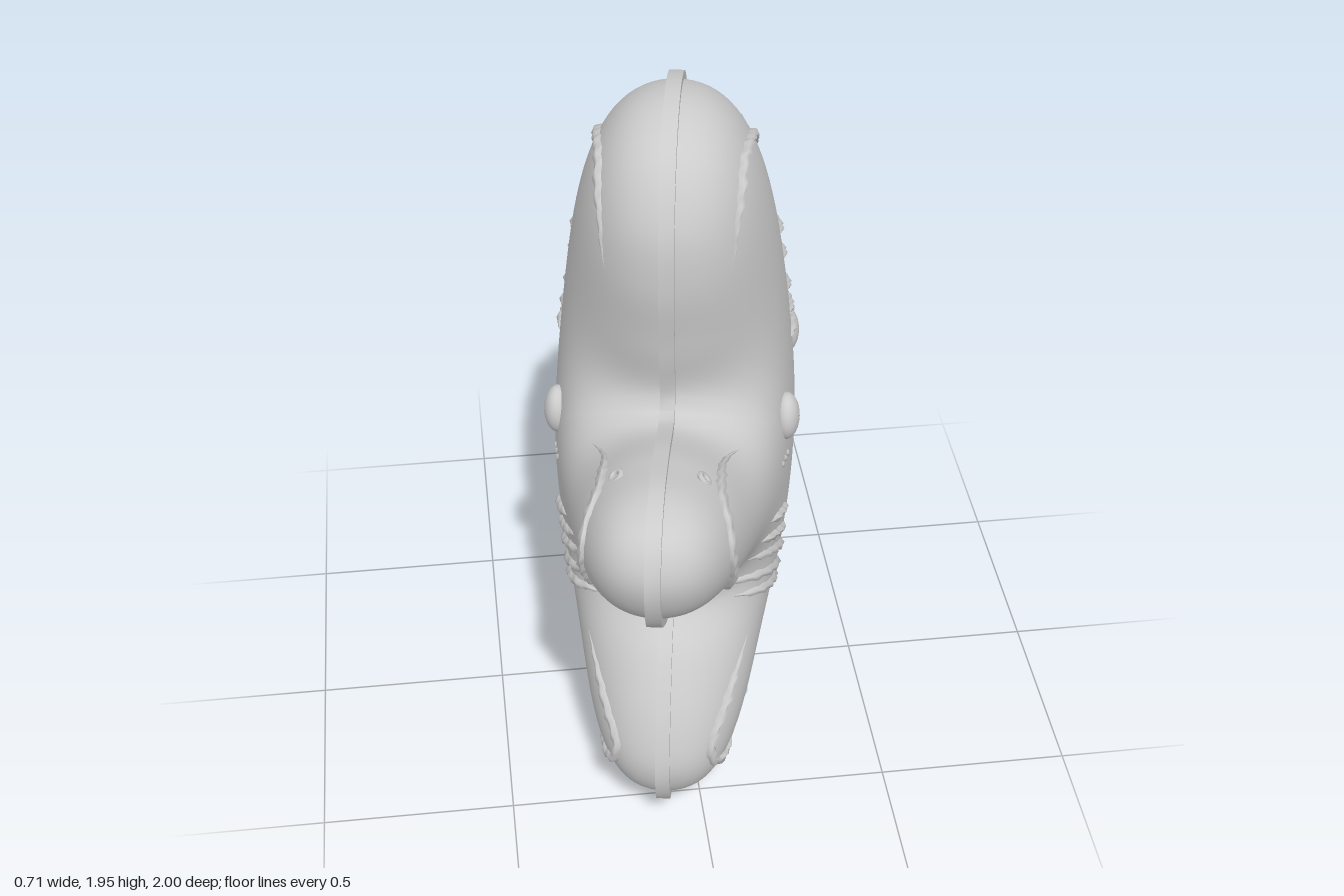
import * as THREE from 'three';
import { toCreasedNormals } from 'three/addons/utils/BufferGeometryUtils.js';

const TILT = 0.175; // the star's flat plane is turned slightly about y
const C = Math.cos(TILT), S = Math.sin(TILT);
const material = new THREE.MeshStandardMaterial({ color: 0xcccccc });

// Star outline as [z, y], starting at the top arm and running towards the back
const OUTLINE = [
  [0.185, 1.955], [-0.02, 1.9], [-0.19, 1.725], [-0.315, 1.485], [-0.367, 1.297], [-0.378, 1.21],
  [-0.61, 1.222], [-0.866, 1.195], [-0.973, 1.11], [-0.995, 1.013], [-0.94, 0.885], [-0.796, 0.778],
  [-0.58, 0.682], [-0.4, 0.623], [-0.49, 0.479], [-0.544, 0.307], [-0.517, 0.12], [-0.42, 0.03],
  [-0.287, 0.005], [-0.126, 0.072], [0.008, 0.211], [0.083, 0.318], [0.169, 0.227], [0.303, 0.115],
  [0.475, 0.078], [0.635, 0.126], [0.689, 0.243], [0.662, 0.388], [0.571, 0.559], [0.475, 0.676],
  [0.625, 0.773], [0.84, 0.928], [0.962, 1.045], [1.0, 1.174], [0.952, 1.28], [0.84, 1.318],
  [0.65, 1.286], [0.426, 1.233], [0.438, 1.4], [0.464, 1.59], [0.448, 1.751], [0.357, 1.896],
];

// Raised lines on the skin, as [z, y] paths
const CONTOURS = {
  topArmContour: [[0.41, 1.596], [0.373, 1.725], [0.276, 1.815], [0.115, 1.79], [-0.045, 1.67], [-0.147, 1.505]],
  topArmDash: [[0.008, 1.767], [-0.083, 1.72], [-0.169, 1.596]],
  backArmContour: [[-0.34, 1.115], [-0.61, 1.12], [-0.81, 1.1], [-0.887, 1.03], [-0.85, 0.922], [-0.61, 0.815], [-0.228, 0.676]],
  frontArmContour: [[0.485, 1.147], [0.65, 1.206], [0.785, 1.217], [0.855, 1.152], [0.812, 1.03], [0.732, 0.938], [0.63, 0.896]],
  frontFootContour: [[0.458, 0.516], [0.571, 0.414], [0.64, 0.307], [0.625, 0.238], [0.49, 0.2], [0.36, 0.23]],
  frontFootDash: [[0.47, 0.265], [0.357, 0.285], [0.249, 0.35]],
  backFootContour: [[-0.228, 0.639], [-0.367, 0.468], [-0.458, 0.334], [-0.42, 0.2], [-0.287, 0.163], [-0.126, 0.243], [0.013, 0.35]],
};
// Straight stripes: z, y of the start, then of the end
const STRIPES = [
  [0.105, 1.5, -0.19, 1.4], [0.078, 1.41, -0.21, 1.313], [0.088, 1.324, -0.217, 1.195],
  [0.1, 1.26, -0.153, 1.174], [0.126, 1.206, -0.083, 1.174],
  [0.426, 0.858, 0.249, 0.773], [0.45, 0.815, 0.23, 0.69], [0.455, 0.765, 0.2, 0.61],
  [0.46, 0.7, 0.19, 0.545], [0.447, 0.639, 0.169, 0.489],
];
// Tiny cheek ticks below the eyes
const TICKS = [
  [0.365, 1.0, 0.355, 0.975], [0.335, 0.995, 0.325, 0.97], [0.305, 0.99, 0.3, 0.965],
  [-0.14, 0.91, -0.15, 0.885], [-0.17, 0.92, -0.18, 0.895], [-0.22, 0.945, -0.24, 0.91],
  [-0.25, 0.95, -0.265, 0.915], [-0.28, 0.955, -0.295, 0.92], [-0.31, 0.96, -0.325, 0.93],
  [-0.22, 0.915, -0.33, 0.945],
];

const curve = new THREE.CatmullRomCurve3(
  OUTLINE.map(([z, y]) => new THREE.Vector3(z / C, y, 0)), true, 'centripetal');
const N = 260;
const edge = curve.getSpacedPoints(N).slice(0, N);

// Outline moved inwards along its normal
function inset(d) {
  return edge.map((p, i) => {
    const t = edge[(i + 1) % N].clone().sub(edge[(i + N - 1) % N]).normalize();
    return new THREE.Vector2(p.x - t.y * d, p.y + t.x * d);
  });
}
const bodyEdge = inset(0.02);

// Puffed half thickness: root of a smooth distance to the outline
function height(u, y) {
  let w = 0;
  for (let i = 0; i < N; i++) {
    const p = bodyEdge[i], q = bodyEdge[(i + 1) % N];
    const ax = p.x - u, ay = p.y - y, bx = q.x - u, by = q.y - y;
    const a = Math.hypot(ax, ay), b = Math.hypot(bx, by);
    w += (1 / a + 1 / b) * (ax * by - ay * bx) / (a * b + ax * bx + ay * by);
  }
  return 0.64 * Math.sqrt(2 / Math.abs(w));
}

// Point on the skin (side = 1 or -1) from the z, y seen square on from +x
function onSkin(z, y, side) {
  let u = z / C, h = 0;
  for (let k = 0; k < 3; k++) {
    h = height(u, y);
    u = (z - S * h) / C;
  }
  return new THREE.Vector3(side * h, y, u);
}

function bodyGeometry() {
  const R = 30, cu = 0.05, cy = 0.84, pos = [], idx = [], half = [];
  for (let r = 0; r <= R; r++) {
    const s = 1 - (1 - r / R) ** 2;
    half.push(bodyEdge.map((p) => {
      const u = cu + (p.x - cu) * s, y = cy + (p.y - cy) * s;
      return [r === R ? 0 : height(u, y), y, u];
    }));
  }
  for (let r = 0; r <= 2 * R; r++) {
    const side = r <= R ? 1 : -1;
    for (const [h, y, u] of half[r <= R ? r : 2 * R - r]) pos.push(side * h, y, u);
  }
  for (let r = 0; r < 2 * R; r++) {
    for (let i = 0; i < N; i++) {
      const a = r * N + i, b = r * N + (i + 1) % N;
      idx.push(a, b + N, a + N, a, b, b + N);
    }
  }
  const g = new THREE.BufferGeometry();
  g.setAttribute('position', new THREE.Float32BufferAttribute(pos, 3));
  g.setIndex(idx);
  g.computeVertexNormals();
  return g;
}

// Flat seam band around the outline
function rimGeometry() {
  const shape = new THREE.Shape(edge.map((p) => new THREE.Vector2(p.x, p.y)));
  shape.holes.push(new THREE.Path(inset(0.03)));
  const g = new THREE.ExtrudeGeometry(shape, { depth: 0.036, bevelEnabled: false });
  g.translate(0, 0, -0.018).rotateY(-Math.PI / 2);
  return toCreasedNormals(g, 0.7);
}

// Rough raised line with tapered ends
function lineGeometry(points, side, radius) {
  const flat = new THREE.CatmullRomCurve3(points.map(([z, y]) => new THREE.Vector3(z, y, 0)));
  const seg = Math.max(6, Math.round(flat.getLength() / 0.018));
  const path = new THREE.CatmullRomCurve3(
    flat.getSpacedPoints(seg).map((p) => onSkin(p.x, p.y, side)));
  const g = new THREE.TubeGeometry(path, seg, radius, 6);
  const pos = g.attributes.position, v = new THREE.Vector3();
  for (let i = 0; i <= seg; i++) {
    const c = path.getPointAt(i / seg);
    const taper = Math.min(1, 4 * Math.min(i, seg - i) / seg + 0.02);
    for (let j = 0; j < 7; j++) {
      const k = i * 7 + j;
      const rough = 1 + 0.25 * Math.sin(i * 2.3 + (j % 6) * 1.7);
      v.fromBufferAttribute(pos, k).sub(c).multiplyScalar(taper * rough).add(c);
      pos.setXYZ(k, v.x, v.y, v.z);
    }
  }
  g.computeVertexNormals();
  return g;
}

export function createModel() {
  const star = new THREE.Group();
  star.name = 'starfish';
  star.rotation.y = -TILT;
  const add = (name, geometry, parent = star) => {
    const mesh = new THREE.Mesh(geometry, material);
    mesh.name = name;
    parent.add(mesh);
    return mesh;
  };
  add('body', bodyGeometry());
  add('seamRim', rimGeometry());

  // Both faces carry the same eyes and markings
  for (const side of [1, -1]) {
    const face = new THREE.Group();
    face.name = side > 0 ? 'leftFace' : 'rightFace';
    star.add(face);
    for (const [z, y] of [[0.287, 1.083], [-0.169, 1.019]]) {
      const eye = add('eye', new THREE.SphereGeometry(1, 24, 16), face);
      eye.scale.set(0.034, 0.064, 0.05);
      eye.position.copy(onSkin(z, y, side));
    }
    for (const [name, points] of Object.entries(CONTOURS)) add(name, lineGeometry(points, side, 0.013), face);
    for (const [z0, y0, z1, y1] of STRIPES) add('stripe', lineGeometry([[z0, y0], [z1, y1]], side, 0.013), face);
    for (const [z0, y0, z1, y1] of TICKS) add('cheekTick', lineGeometry([[z0, y0], [z1, y1]], side, 0.006), face);
    // Small ring spot on the front arm
    const spot = add('armSpot', new THREE.TorusGeometry(0.015, 0.007, 6, 14), face);
    spot.position.copy(onSkin(0.716, 1.249, side));
    spot.lookAt(spot.position.clone().add(new THREE.Vector3(side * 0.7, 0.7, 0)));
  }
  const model = new THREE.Group();
  model.add(star);
  return model;
}
